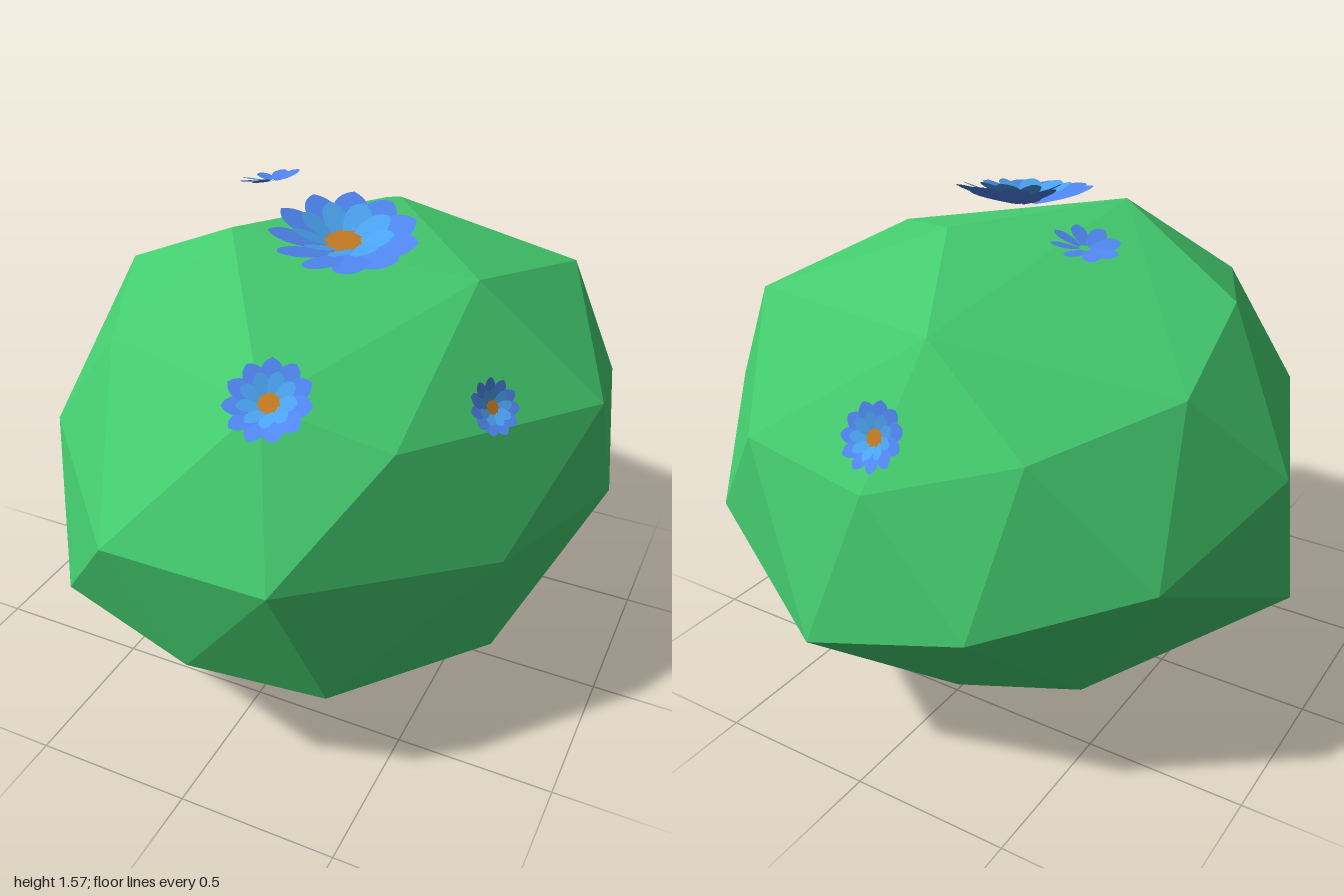
import * as THREE from 'three';
import { ConvexGeometry } from 'three/addons/geometries/ConvexGeometry.js';

const paint = (color, extra = {}) => new THREE.MeshStandardMaterial({ color, ...extra });
const leafGreen = paint(0x44cc6f, { flatShading: true });
const outerBlue = paint(0x4f86f0, { side: THREE.DoubleSide });
const innerBlue = paint(0x4aa3f0, { side: THREE.DoubleSide });
const orange = paint(0xc07820, { side: THREE.DoubleSide });

// Corner points of the faceted bush, from crown to base
const corners = [
  // crown
  [-0.2, 1.51, 0.21], [0.13, 1.49, -0.29], [0.5, 1.39, 0], [-0.64, 1.29, 0.08],
  [0.66, 1.28, -0.52], [-0.08, 1.32, -0.69], [0.13, 1.23, 0.67], [-0.44, 1.24, 0.52],
  [0.48, 1.11, 0.57], [-0.7, 1.16, -0.37], [-0.45, 1.08, -0.79],
  // middle
  [-0.2, 0.87, 1], [0.27, 0.81, 0.93], [-0.68, 0.9, 0.51], [0.89, 1.03, -0.08],
  [0.83, 0.94, -0.48], [0.48, 0.94, -0.83], [-0.01, 0.93, -0.92], [-0.92, 0.87, -0.13],
  [0.75, 0.71, 0.38], [0.92, 0.64, -0.22], [-0.78, 0.73, -0.66], [-0.35, 0.58, -0.94],
  // lower
  [0.79, 0.55, -0.67], [0.16, 0.44, -1], [-0.92, 0.4, 0], [-0.5, 0.48, 0.78],
  [0, 0.47, 0.92], [0.37, 0.36, 0.77], [0.72, 0.34, 0.32], [0.59, 0.21, -0.18],
  // base
  [-0.14, 0.15, 0.6], [-0.55, 0.15, 0], [0.27, 0.16, -0.65], [-0.1, 0.15, -0.63],
  [-0.42, 0.12, -0.42], [-0.06, 0, 0.22], [0.27, 0.01, 0.1],
];

// Petal of unit length along +z, cupped slightly across its width
function petalGeometry(width) {
  const s = new THREE.Shape();
  s.moveTo(-0.07, 0.15);
  s.lineTo(0.07, 0.15);
  s.quadraticCurveTo(width * 0.6, 0.55, width * 0.5, 0.75);
  s.quadraticCurveTo(width * 0.4, 0.93, 0, 1);
  s.quadraticCurveTo(-width * 0.4, 0.93, -width * 0.5, 0.75);
  s.quadraticCurveTo(-width * 0.6, 0.55, -0.07, 0.15);
  return new THREE.ShapeGeometry(s, 4).rotateX(Math.PI / 2).scale(1, -1, 1);
}
const petal = petalGeometry(0.46);

function petalRing(name, count, length, tilt, height, material, phase = 0) {
  const ring = new THREE.Group();
  ring.name = name;
  for (let i = 0; i < count; i++) {
    const p = new THREE.Mesh(petal, material);
    p.name = 'petal';
    p.rotation.order = 'YXZ';
    // a small roll makes neighbours overlap like shingles
    p.rotation.set(-tilt, (i + phase) / count * Math.PI * 2, 0.18);
    p.scale.setScalar(length);
    p.position.y = height;
    ring.add(p);
  }
  return ring;
}

// Flower opening along the given normal
function flower(name, position, normal, radius, full = true) {
  const f = new THREE.Group();
  f.name = name;
  f.add(petalRing('outerPetals', full ? 11 : 8, 1.05, full ? 0.3 : 0.2, 0, outerBlue));
  if (full) {
    f.add(petalRing('innerPetals', 9, 0.74, 0.42, 0.05, innerBlue, 0.5));
    const heart = new THREE.Mesh(new THREE.CylinderGeometry(0.3, 0.2, 0.1, 7), orange);
    heart.name = 'flowerCentre';
    heart.position.y = 0.11;
    f.add(heart);
  }
  f.scale.setScalar(radius);
  f.position.set(...position);
  f.quaternion.setFromUnitVectors(new THREE.Vector3(0, 1, 0), new THREE.Vector3(...normal).normalize());
  return f;
}

export function createModel() {
  const model = new THREE.Group();
  model.name = 'floweringBush';

  const bush = new THREE.Mesh(
    new ConvexGeometry(corners.map((c) => new THREE.Vector3(...c))), leafGreen);
  bush.name = 'bush';
  model.add(bush);

  model.add(
    flower('crownFlower', [0.12, 1.46, 0.12], [0.08, 1, 0.16], 0.22),
    flower('frontFlower', [0.16, 1.235, 0.67], [0.08, 0.8, 0.58], 0.125),
    flower('leftFlower', [0.635, 1.125, 0.25], [0.7, 0.55, 0.4], 0.085),
    flower('backFlower', [-0.03, 1.08, -0.855], [0, 0.5, -0.86], 0.1),
    flower('rightFlower', [-0.31, 1.485, -0.25], [-0.22, 1, -0.12], 0.1, false),
  );
  return model;
}
